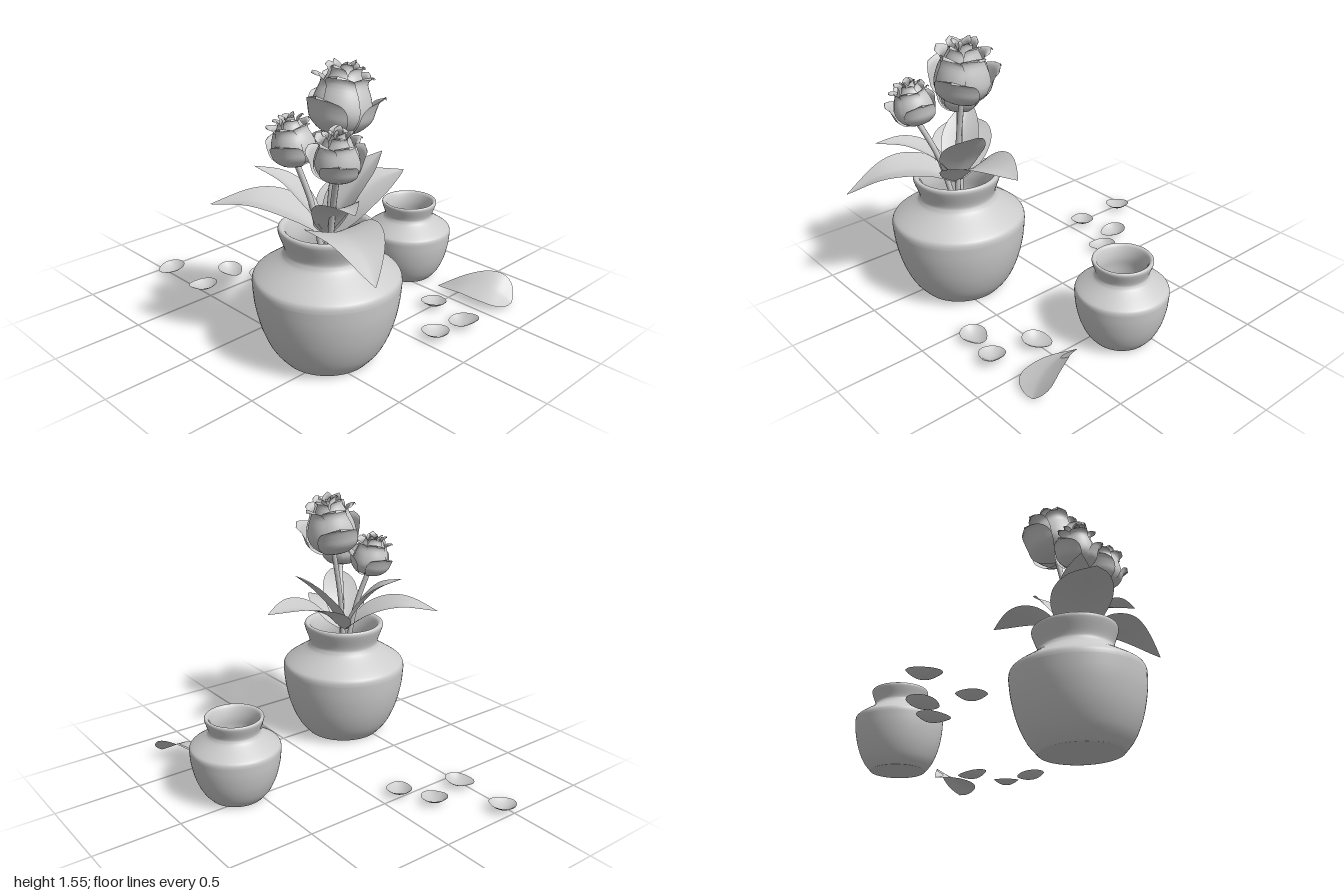
import * as THREE from 'three';

const grey = new THREE.MeshStandardMaterial({ color: 0xcccccc, side: THREE.DoubleSide });
const V = (p) => new THREE.Vector3(...p);

// Curved sheet: f(u in -1..1, t in 0..1) gives each point
function sheet(name, f, nu = 12, nt = 20) {
  const g = new THREE.PlaneGeometry(2, 1, nu, nt);
  const p = g.attributes.position;
  for (let i = 0; i < p.count; i++) {
    const q = f(p.getX(i), p.getY(i) + 0.5);
    p.setXYZ(i, q.x, q.y, q.z);
  }
  g.computeVertexNormals();
  const m = new THREE.Mesh(g, grey);
  m.name = name;
  return m;
}

// Vase with a rounded lip and a hollow, bowl-shaped inside
function vase(name, x, z, s) {
  const bowl = new THREE.SplineCurve([[0.235, 0], [0.295, 0.075], [0.345, 0.19], [0.375, 0.32], [0.385, 0.43]]
    .map((p) => new THREE.Vector2(...p))).getPoints(14);
  const neck = new THREE.SplineCurve([[0.385, 0.43], [0.38, 0.46], [0.355, 0.485], [0.25, 0.555], [0.222, 0.585],
    [0.218, 0.615], [0.242, 0.685], [0.248, 0.71], [0.243, 0.725], [0.228, 0.726], [0.212, 0.71],
    [0.195, 0.66], [0.188, 0.6], [0.195, 0.5], [0.19, 0.3], [0.16, 0.12], [0.12, 0.05]]
    .map((p) => new THREE.Vector2(...p))).getPoints(80).slice(1);
  const pts = [new THREE.Vector2(0, 0), new THREE.Vector2(0.228, 0), ...bowl, ...neck, new THREE.Vector2(0, 0.05)];
  const m = new THREE.Mesh(new THREE.LatheGeometry(pts, 64), grey);
  m.name = name;
  m.position.set(x, 0.014, z);
  m.scale.setScalar(s);
  return m;
}

// Leaf along a path, folded up from the midrib; roll tips it sideways
function leaf(name, points, half, fold = 0.28, roll = 0, peak = 0.78) {
  const path = new THREE.CatmullRomCurve3(points.map(V));
  return sheet(name, (u, t) => {
    const c = path.getPoint(t), d = path.getTangent(t);
    const side = new THREE.Vector3().crossVectors(d, V([0, 1, 0])).normalize().applyAxisAngle(d, roll);
    const up = new THREE.Vector3().crossVectors(side, d);
    const w = half * Math.pow(Math.max(0, Math.sin(Math.PI * Math.pow(t, peak))), 0.95);
    return c.addScaledVector(side, u * w).addScaledVector(up, Math.pow(Math.abs(u), 1.4) * fold * w);
  }, 14, 28);
}

// Petal wrapped round the flower axis, following a radius/height profile
function wrapPetal(name, profile, half, angle) {
  const curve = new THREE.SplineCurve(profile.map((p) => new THREE.Vector2(...p)));
  return sheet(name, (u, t) => {
    const p = curve.getPoint(t);
    const width = half * Math.pow(Math.max(0, Math.sin(Math.PI * (0.14 + 0.86 * t))), 0.5);
    const a = angle + u * width;
    const r = p.x + 0.006 * u;
    return V([Math.sin(a) * r, p.y - 0.015 * u * u * t, Math.cos(a) * r]);
  }, 12, 18);
}

const layers = [
  { name: 'outerPetal', n: 3, half: 0.85, turn: 0.15,
    profile: [[0.01, 0], [0.09, 0.015], [0.15, 0.07], [0.168, 0.13], [0.182, 0.175], [0.205, 0.2]] },
  { name: 'bodyPetal', n: 5, half: 0.85, turn: 0.55,
    profile: [[0.01, 0.005], [0.1, 0.03], [0.146, 0.1], [0.137, 0.18], [0.112, 0.25], [0.125, 0.285], [0.152, 0.295]] },
  { name: 'upperPetal', n: 4, half: 0.85, turn: 0.2,
    profile: [[0.02, 0.02], [0.11, 0.06], [0.13, 0.13], [0.1, 0.24], [0.075, 0.3], [0.082, 0.33], [0.1, 0.338]] },
  { name: 'innerPetal', n: 3, half: 1.1, turn: 0.9,
    profile: [[0.03, 0.1], [0.09, 0.16], [0.07, 0.24], [0.045, 0.3], [0.042, 0.335], [0.06, 0.355]] },
  { name: 'heartPetal', n: 2, half: 1.4, turn: 0.3,
    profile: [[0.03, 0.15], [0.045, 0.22], [0.025, 0.29], [0.018, 0.32], [0.024, 0.335]] },
];

// Flower head with its bent stem
function flower(name, base, axis, s, turn, root) {
  const g = new THREE.Group();
  g.name = name;
  const head = new THREE.Group();
  head.name = 'flowerHead';
  for (const l of layers) {
    for (let i = 0; i < l.n; i++) {
      head.add(wrapPetal(l.name, l.profile, l.half, turn + l.turn + (i * Math.PI * 2) / l.n));
    }
  }
  const dir = V(axis).normalize();
  head.position.copy(V(base));
  head.quaternion.setFromUnitVectors(V([0, 1, 0]), dir);
  head.scale.setScalar(s);
  const end = V(base), start = V(root);
  const bend = start.clone().lerp(end, 0.55);
  bend.x += (start.x - end.x) * 0.15;
  bend.z += (start.z - end.z) * 0.15;
  const stem = new THREE.Mesh(new THREE.TubeGeometry(new THREE.CatmullRomCurve3(
    [start, bend, end.clone().addScaledVector(dir, 0.02)]), 20, 0.016, 10), grey);
  stem.name = 'stem';
  g.add(head, stem);
  return g;
}

// Fallen petal: a shallow cup with one pointed end
function fallenPetal(x, z, heading, tilt) {
  const m = sheet('fallenPetal', (u, t) => {
    const a = u * Math.PI;
    const r = t * 0.074 * (1 + 0.3 * Math.pow(Math.max(0, Math.cos(a)), 5));
    return V([Math.sin(a) * r, 0.032 * t * t, Math.cos(a) * r]);
  }, 28, 6);
  m.position.set(x, 0.02, z);
  m.rotation.set(tilt, heading, 0, 'YXZ');
  return m;
}

export function createModel() {
  const model = new THREE.Group();
  model.name = 'flowerVases';
  model.add(vase('largeVase', 0.43, 0.43, 1), vase('smallVase', 0.095, -0.59, 0.665));

  // Leaves: three broad drooping ones and three upright ones
  const root = [0.43, 0.68, 0.43];
  [
    [[0.31, 0.8, 0.55], [0.17, 0.86, 0.68], [0, 0.84, 0.83], 0.175],
    [[0.58, 0.77, 0.5], [0.79, 0.79, 0.58], [1, 0.69, 0.68], 0.175],
    [[0.43, 0.81, 0.29], [0.43, 0.885, 0.08], [0.43, 0.895, -0.14], 0.185],
  ].forEach(([a, b, c, w]) => model.add(leaf('broadLeaf', [root, a, b, c], w, 0.22)));
  [
    [[0.35, 0.85, 0.5], [0.26, 0.97, 0.57], [0.15, 1.04, 0.66], 0.11],
    [[0.54, 0.85, 0.49], [0.67, 0.94, 0.56], [0.82, 0.965, 0.63], 0.11],
    [[0.45, 0.85, 0.33], [0.48, 0.98, 0.22], [0.5, 1.075, 0.11], 0.13],
  ].forEach(([a, b, c, w]) => model.add(leaf('uprightLeaf', [root, a, b, c], w, 0.25)));

  // Flowers
  model.add(
    flower('largeFlower', [0.425, 1.2, 0.345], [0, 1, -0.13], 1.02, 0, [0.43, 0.6, 0.43]),
    flower('leftHandFlower', [0.6, 1.055, 0.53], [0.13, 1, 0.1], 0.74, 0.7, [0.46, 0.6, 0.44]),
    flower('rightHandFlower', [0.32, 1.055, 0.53], [-0.13, 1, 0.1], 0.74, 2.4, [0.4, 0.6, 0.44]),
  );

  // Fallen leaf and scattered petals
  model.add(leaf('fallenLeaf', [[0.81, 0.025, -0.7], [0.72, 0.085, -0.655], [0.57, 0.085, -0.6], [0.38, 0.03, -0.55]],
    0.125, 0.15, -0.42, 0.68));
  [
    [0.51, -0.35, 3.7, 0.15], [0.76, -0.3, 2.3, -0.15], [0.73, -0.09, 3.1, 0.1], [-0.47, 0.13, 0.8, 0.1],
    [-0.66, 0.23, 1.4, 0.15], [-0.93, 0.47, 0, 0.12], [-0.59, 0.47, -0.8, 0.1],
  ].forEach((p) => model.add(fallenPetal(...p)));
  return model;
}
